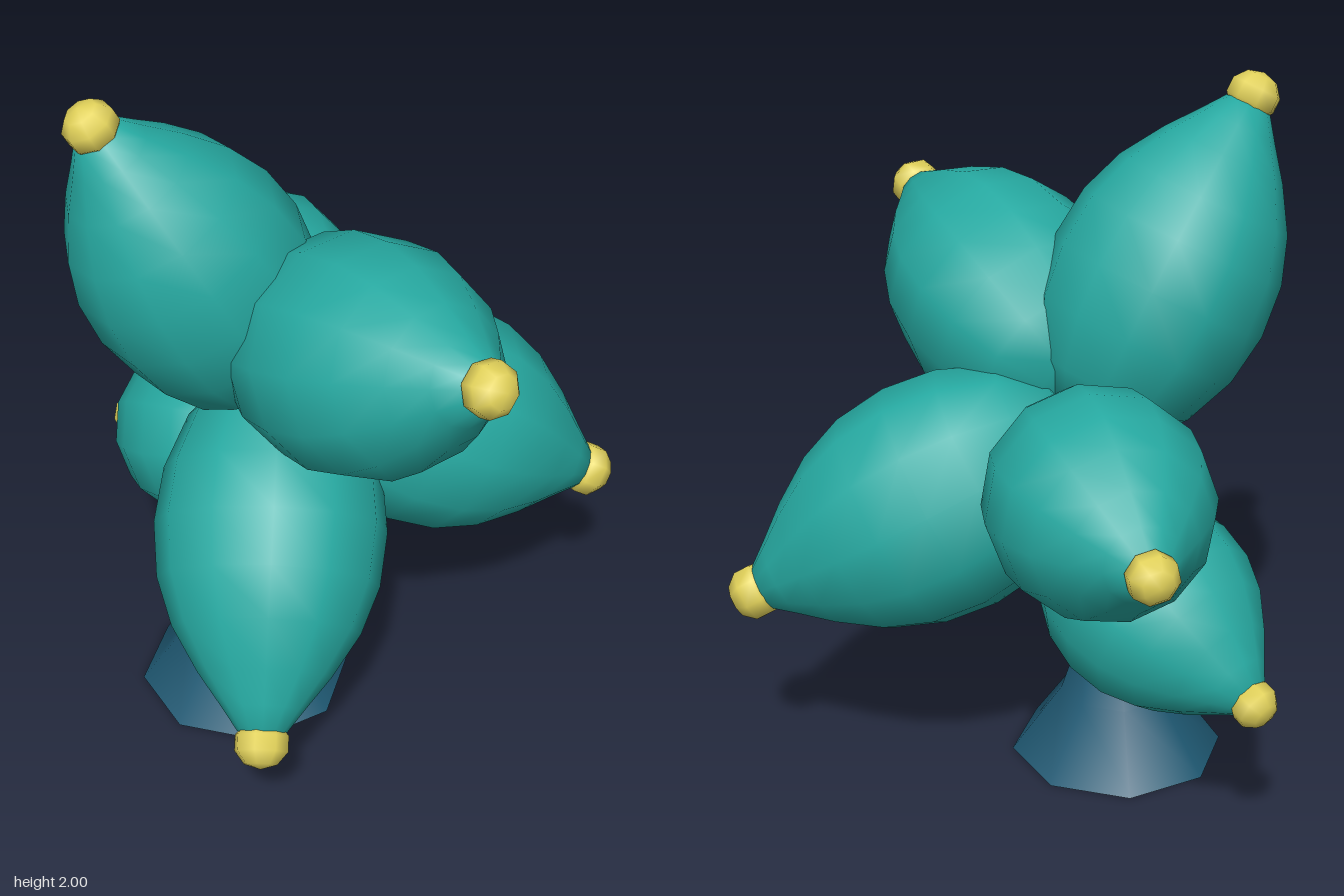
import * as THREE from 'three';

const mat = (name, color) => {
  const m = new THREE.MeshStandardMaterial({ color });
  m.name = name;
  return m;
};

// Lobe outline: fraction of length, fraction of greatest radius
const LOBE = [[0, 0], [0.01, 0.45], [0.12, 0.76], [0.27, 0.95], [0.42, 1.01], [0.57, 0.96],
  [0.7, 0.81], [0.82, 0.57], [0.91, 0.35], [0.97, 0.21], [1, 0]];

// Each lobe: root position, tip position, greatest radius, bead radius
const LOBES = [
  ['topLobe', [-0.05, 1.07, -0.1], [-0.47, 1.935, -0.315], 0.313, 0.076],
  ['frontLobe', [-0.02, 1.17, -0.1], [-0.31, 1.525, 0.78], 0.323, 0.077],
  ['lowerRightLobe', [-0.01, 1.02, -0.1], [-0.645, 0.35, 0.335], 0.32, 0.079],
  ['frontLeftLobe', [0.015, 1.07, -0.1], [0.64, 0.6, 0.55], 0.335, 0.082],
  ['backLeftLobe', [0.11, 1.03, -0.13], [0.55, 1.025, -0.76], 0.3, 0.071],
  ['lowerBackLobe', [0.02, 0.78, -0.1], [0.13, 0.5, -0.79], 0.282, 0.067],
];

export function createModel() {
  const teal = mat('teal', 0x26a9a1);
  const blue = mat('deepBlue', 0x1f5973);
  blue.side = THREE.DoubleSide;
  const yellow = mat('yellow', 0xe2d25a);
  const model = new THREE.Group();
  model.name = 'lobedPlant';

  // Flared eight-sided foot, hollow and open underneath
  const footProfile = [[0.31, 0], [0.165, 0.2], [0.095, 0.41], [0.04, 0.56], [0, 0.58]];
  const foot = new THREE.Mesh(
    new THREE.LatheGeometry(footProfile.map(([r, y]) => new THREE.Vector2(r, y)), 8), blue);
  foot.name = 'foot';
  foot.position.set(-0.15, 0, -0.125);
  model.add(foot);

  // Lobes spread from the middle, each capped by a slightly flattened bead
  const up = new THREE.Vector3(0, 1, 0);
  for (const [name, root, tip, radius, beadRadius] of LOBES) {
    const start = new THREE.Vector3(...root);
    const dir = new THREE.Vector3(...tip).sub(start);
    const length = dir.length();
    const group = new THREE.Group();
    group.name = name;
    group.position.copy(start);
    group.quaternion.setFromUnitVectors(up, dir.normalize());

    const points = LOBE.map(([t, r]) => new THREE.Vector2(r * radius, t * length));
    const body = new THREE.Mesh(new THREE.LatheGeometry(points, 12), teal);
    body.name = name + 'Body';

    const bead = new THREE.Mesh(new THREE.SphereGeometry(beadRadius, 8, 5), yellow);
    bead.name = name + 'Bead';
    bead.position.y = length;
    bead.scale.y = 0.88;
    group.add(body, bead);
    model.add(group);
  }
  return model;
}
